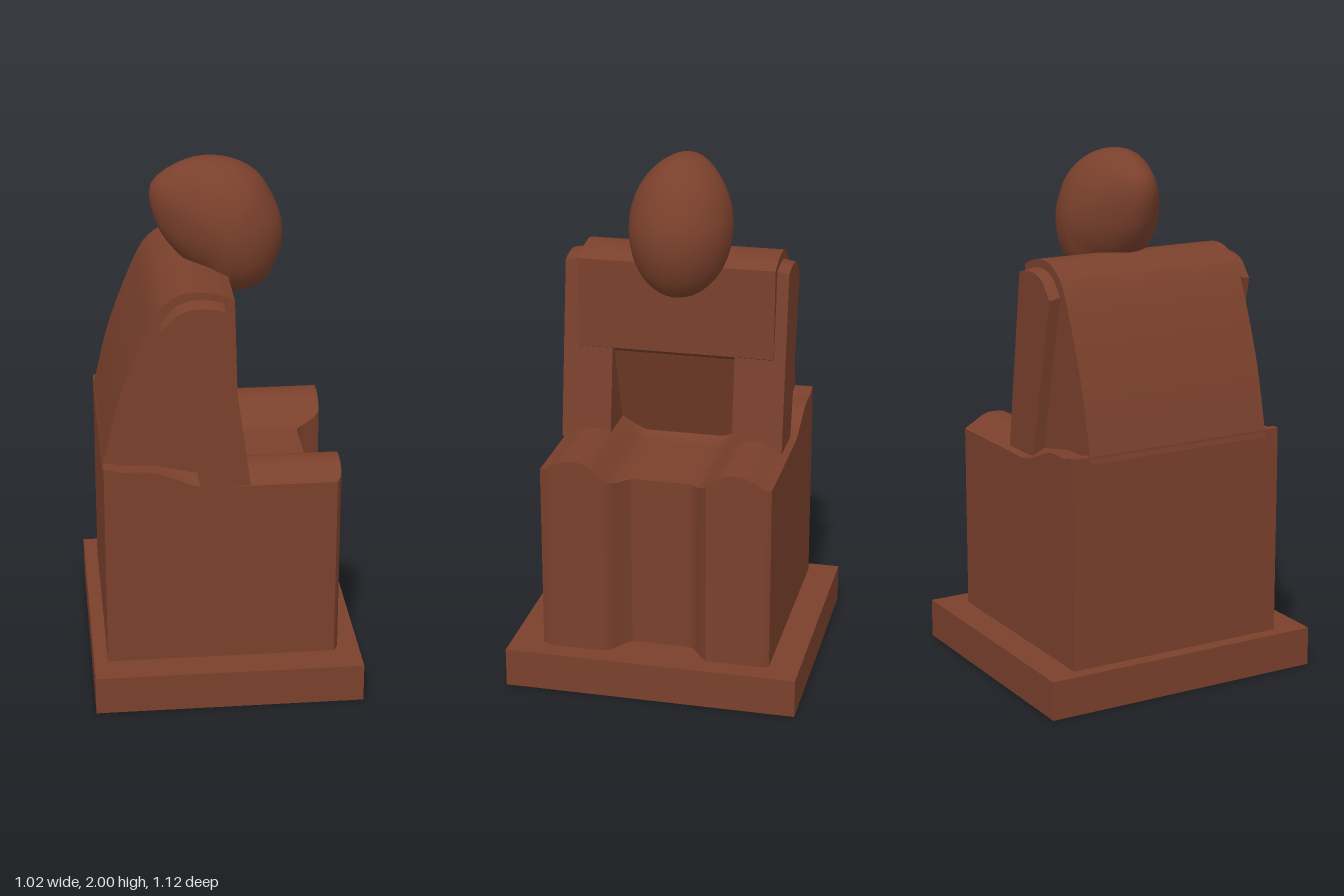
import * as THREE from 'three';
import { toCreasedNormals, mergeVertices } from 'three/addons/utils/BufferGeometryUtils.js';

const clay = new THREE.MeshStandardMaterial({ color: 0x7a402c });
const step = THREE.MathUtils.smoothstep;
const lerp = THREE.MathUtils.lerp;

function add(group, name, geometry) {
  const mesh = new THREE.Mesh(geometry, clay);
  mesh.name = name;
  group.add(mesh);
  return mesh;
}

// Move every vertex of a geometry by a rule
function reshape(geometry, rule) {
  const p = geometry.attributes.position;
  const v = new THREE.Vector3();
  for (let i = 0; i < p.count; i++) {
    rule(v.fromBufferAttribute(p, i));
    p.setXYZ(i, v.x, v.y, v.z);
  }
  geometry.computeVertexNormals();
  return geometry;
}

// Side outline in x,y swept from z0 to z1
function sweep(shape, z0, z1) {
  const g = new THREE.ExtrudeGeometry(shape, { depth: z1 - z0, bevelEnabled: false, curveSegments: 10 });
  return g.translate(0, 0, z0);
}

// Height of the seat and lap: flat at the back, two thighs with a dip between
function lapHeight(x, z) {
  const a = Math.abs(z);
  const thighs = 0.83 + 0.09 * step(a, 0.13, 0.29) - 0.05 * step(a, 0.33, 0.45);
  const back = 0.958 - 0.012 * step(x, -0.42, -0.46);
  return lerp(back, thighs, step(x, -0.32, -0.06));
}

function seatAndLegs() {
  const g = new THREE.BoxGeometry(1, 1, 1, 28, 10, 40);
  reshape(g, v => {
    const u = v.x + 0.5, h = v.y + 0.5;
    const z = lerp(-0.446, 0.438, v.z + 0.5);
    const a = Math.abs(z + 0.01);
    // Hollow between the shins and softened outer corners
    const front = 0.33 + 0.1 * step(a, 0.11, 0.2) - 0.02 * step(a, 0.41, 0.45);
    const x = lerp(-0.457, front, u);
    v.set(x, lerp(0.14, lapHeight(x, z), h), z);
  });
  return toCreasedNormals(g, 0.7);
}

function torso() {
  const s = new THREE.Shape();
  s.moveTo(-0.46, 0.93);
  s.lineTo(-0.455, 0.96);
  s.splineThru([[-0.39, 1.22], [-0.28, 1.5], [-0.21, 1.59], [-0.13, 1.62], [-0.04, 1.612], [0.03, 1.585]]
    .map(p => new THREE.Vector2(...p)));
  s.lineTo(0.04, 1.24);
  s.lineTo(0.01, 1.22);
  s.lineTo(-0.12, 0.85);
  s.closePath();
  return toCreasedNormals(sweep(s, -0.375, 0.38), 0.6);
}

function arm(z0, z1) {
  const s = new THREE.Shape();
  s.moveTo(-0.1, 0.87);
  s.lineTo(0.085, 0.878);
  s.lineTo(-0.01, 1.6);
  s.quadraticCurveTo(-0.12, 1.635, -0.19, 1.59);
  s.lineTo(-0.24, 1.53);
  s.closePath();
  const g = sweep(s, z0, z1);
  const outer = Math.abs(z0) > Math.abs(z1) ? z0 : z1;
  // The shoulder slopes down to the outside
  reshape(g, v => {
    if (v.y > 1.5 && Math.abs(v.z - outer) < 0.01) v.y -= 0.035;
  });
  return toCreasedNormals(g, 0.5);
}

function head() {
  // Side outline as radii every 30 degrees around the middle of the head
  const radii = [0.215, 0.208, 0.23, 0.252, 0.285, 0.315, 0.25, 0.208, 0.2, 0.26, 0.268, 0.235];
  const outline = new THREE.CatmullRomCurve3(radii.map((r, i) => {
    const a = i * Math.PI / 6;
    return new THREE.Vector3(Math.cos(a) * r, Math.sin(a) * r, 0);
  }), true);
  let g = new THREE.SphereGeometry(1, 48, 32).rotateX(Math.PI / 2);
  g.deleteAttribute('uv');
  g.deleteAttribute('normal');
  g = mergeVertices(g, 1e-4);
  return reshape(g, v => {
    const t = Math.atan2(v.y, v.x) / (2 * Math.PI);
    const r = Math.hypot(v.x, v.y);
    const p = outline.getPoint((t + 1) % 1).multiplyScalar(r);
    // Narrower toward the back of the skull
    const width = 0.195 * (1 - 0.3 * step(-p.x, 0, 0.25));
    v.set(0.03 + p.x, 1.74 + p.y, v.z * width - 0.018);
  });
}

export function createModel() {
  const group = new THREE.Group();
  group.name = 'seatedFigure';
  add(group, 'base', new THREE.BoxGeometry(1.02, 0.15, 1.125)).position.y = 0.075;
  add(group, 'seatAndLegs', seatAndLegs());
  add(group, 'torso', torso());
  add(group, 'leftArm', arm(0.25, 0.443));
  add(group, 'rightArm', arm(-0.42, -0.225));
  add(group, 'head', head());
  return group;
}
